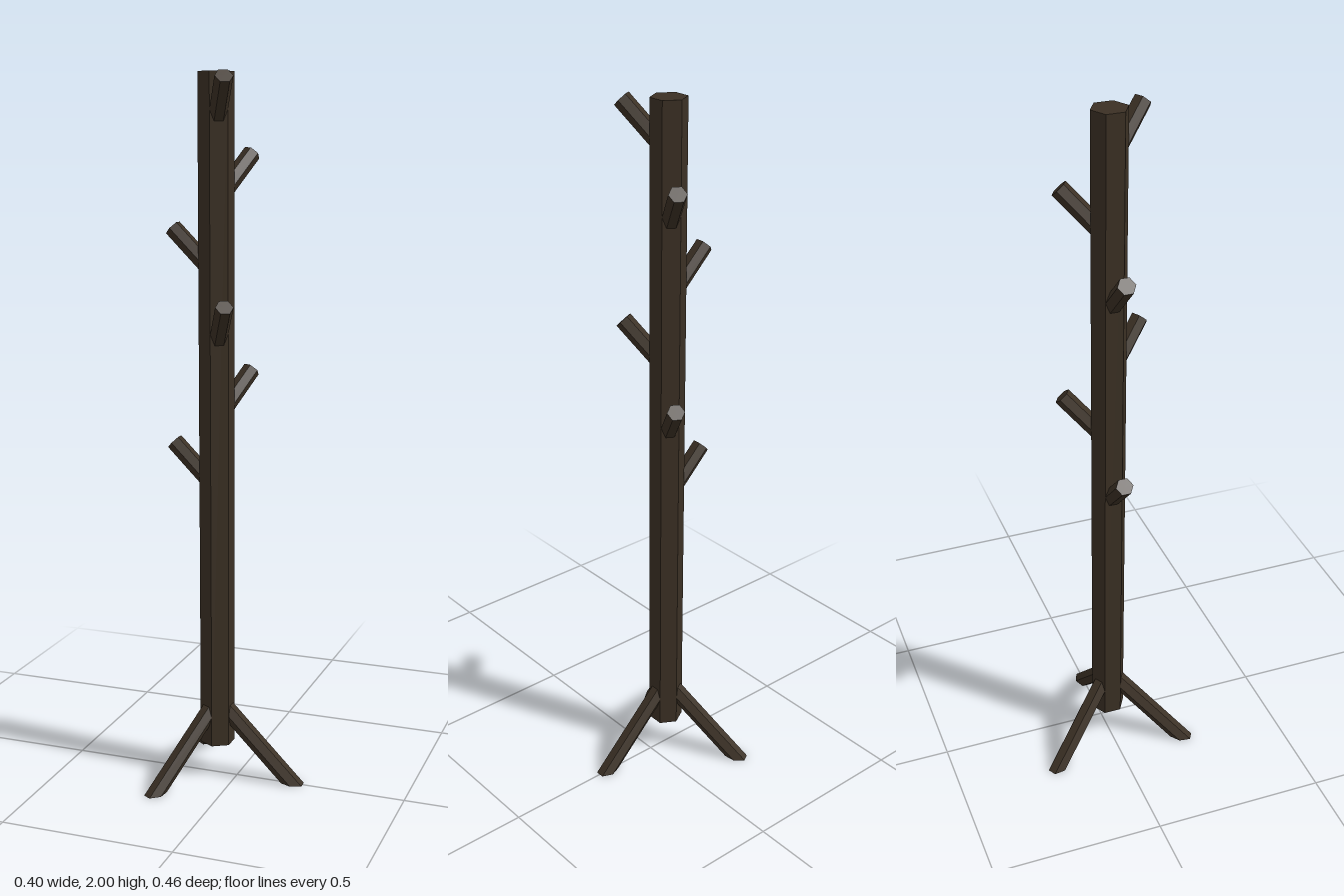
import * as THREE from 'three';

const TRUNK_X = -0.06;
const BAR_RADIUS = 0.025;

// Hexagonal bar leaving the trunk axis at 45 degrees, in the +x direction.
// slope: +1 rises, -1 falls; reach: horizontal length; startY: height on the trunk axis.
function barGeometry(slope, reach, startY) {
  const length = reach * Math.SQRT2;
  const geo = new THREE.CylinderGeometry(BAR_RADIUS, BAR_RADIUS, length, 6);
  geo.translate(0, length / 2, 0);
  geo.rotateZ(slope > 0 ? -Math.PI / 4 : -Math.PI * 3 / 4);
  geo.translate(0, startY, 0);
  return geo;
}

// Slide the outer end along the bar so that it rests flat on the floor
function cutAtFloor(geo, reach) {
  const p = geo.attributes.position;
  for (let i = 0; i < p.count; i++) {
    if (p.getX(i) > reach / 2) p.setXYZ(i, p.getX(i) + p.getY(i), 0, p.getZ(i));
  }
  geo.computeVertexNormals();
  return geo;
}

export function createModel() {
  const model = new THREE.Group();
  model.name = 'coatStand';
  const wood = new THREE.MeshStandardMaterial({ color: 0x3b3024, flatShading: true });
  wood.name = 'darkWood';

  const add = (name, geo, turn = 0) => {
    const mesh = new THREE.Mesh(geo, wood);
    mesh.name = name;
    mesh.position.x = TRUNK_X;
    mesh.rotation.y = THREE.MathUtils.degToRad(turn);
    model.add(mesh);
  };

  // Post
  add('post', new THREE.CylinderGeometry(0.05, 0.05, 1.9, 6).translate(0, 1.05, 0));

  // Three splayed legs
  const legReach = 0.23;
  for (let i = 0; i < 3; i++) {
    add('leg' + (i + 1), cutAtFloor(barGeometry(-1, legReach, legReach), legReach), i * 120);
  }

  // Six pegs spiralling down the post
  const pegReach = 0.1275;
  for (let i = 0; i < 6; i++) {
    const tipY = 1.985 - i * 0.2;
    add('peg' + (i + 1), barGeometry(1, pegReach, tipY - pegReach), -60 + i * 120);
  }
  return model;
}
